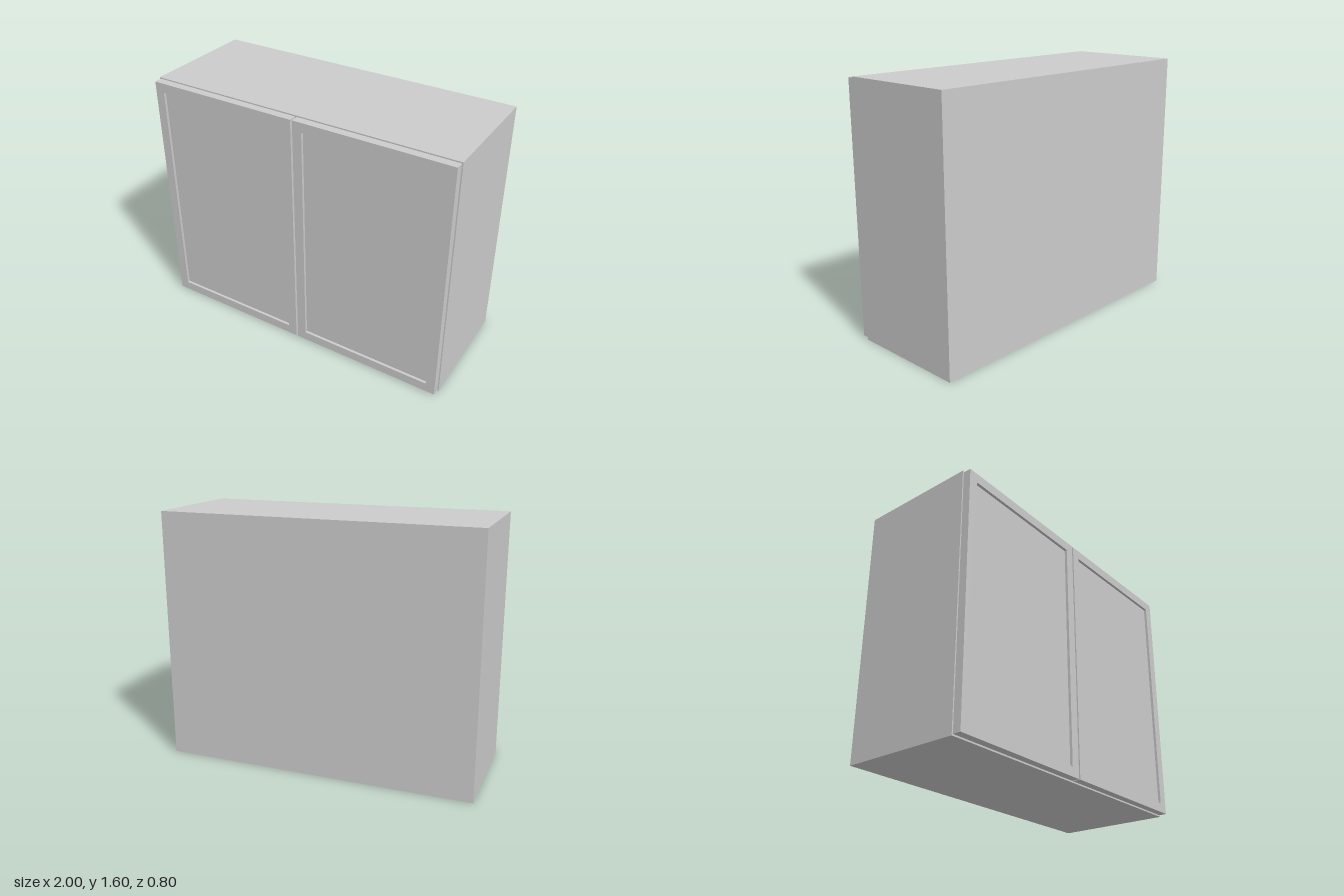
import * as THREE from 'three';

const W = 2, H = 1.6, T = 0.05;      // overall width, height, board thickness
const BACK = -0.4, FRONT = 0.35;     // carcass depth range
const BACK_T = 0.01;

export function createModel() {
  const group = new THREE.Group();
  const material = new THREE.MeshStandardMaterial({ color: 0xcccccc });

  // Box given by its minimum and maximum corners
  const board = (name, x0, x1, y0, y1, z0, z1, parent = group) => {
    const mesh = new THREE.Mesh(new THREE.BoxGeometry(x1 - x0, y1 - y0, z1 - z0), material);
    mesh.position.set((x0 + x1) / 2, (y0 + y1) / 2, (z0 + z1) / 2);
    mesh.name = name;
    parent.add(mesh);
  };

  // Carcass, open at the front behind the doors
  const inner = W / 2 - T;
  const inside = BACK + BACK_T;
  board('leftSide', inner, W / 2, 0, H, inside, FRONT);
  board('rightSide', -W / 2, -inner, 0, H, inside, FRONT);
  board('topPanel', -inner, inner, H - T, H, inside, FRONT);
  board('bottomPanel', -inner, inner, 0, T, inside, FRONT);
  board('backPanel', -W / 2, W / 2, 0, H, BACK, inside);
  board('shelf', -inner, inner, 0.775, 0.825, inside, FRONT - 0.02);

  // Doors: a frame with a recessed panel, mirrored about the centre gap
  const x0 = 0.006, x1 = 0.992, y0 = 0.01, y1 = 1.592, rail = 0.06;
  const rect = (path, a, b, c, d) =>
    path.moveTo(a, c).lineTo(b, c).lineTo(b, d).lineTo(a, d).closePath();

  for (const side of [1, -1]) {
    const door = new THREE.Group();
    door.name = side > 0 ? 'leftDoor' : 'rightDoor';
    const [a, b] = side > 0 ? [x0, x1] : [-x1, -x0];

    const shape = rect(new THREE.Shape(), a, b, y0, y1);
    shape.holes.push(rect(new THREE.Path(), a + rail, b - rail, y0 + rail, y1 - rail));
    const frame = new THREE.Mesh(
      new THREE.ExtrudeGeometry(shape, { depth: T, bevelEnabled: false }), material);
    frame.position.z = FRONT;
    frame.name = 'doorFrame';
    door.add(frame);

    board('doorPanel', a + rail, b - rail, y0 + rail, y1 - rail, FRONT, FRONT + 0.033, door);
    group.add(door);
  }
  return group;
}
